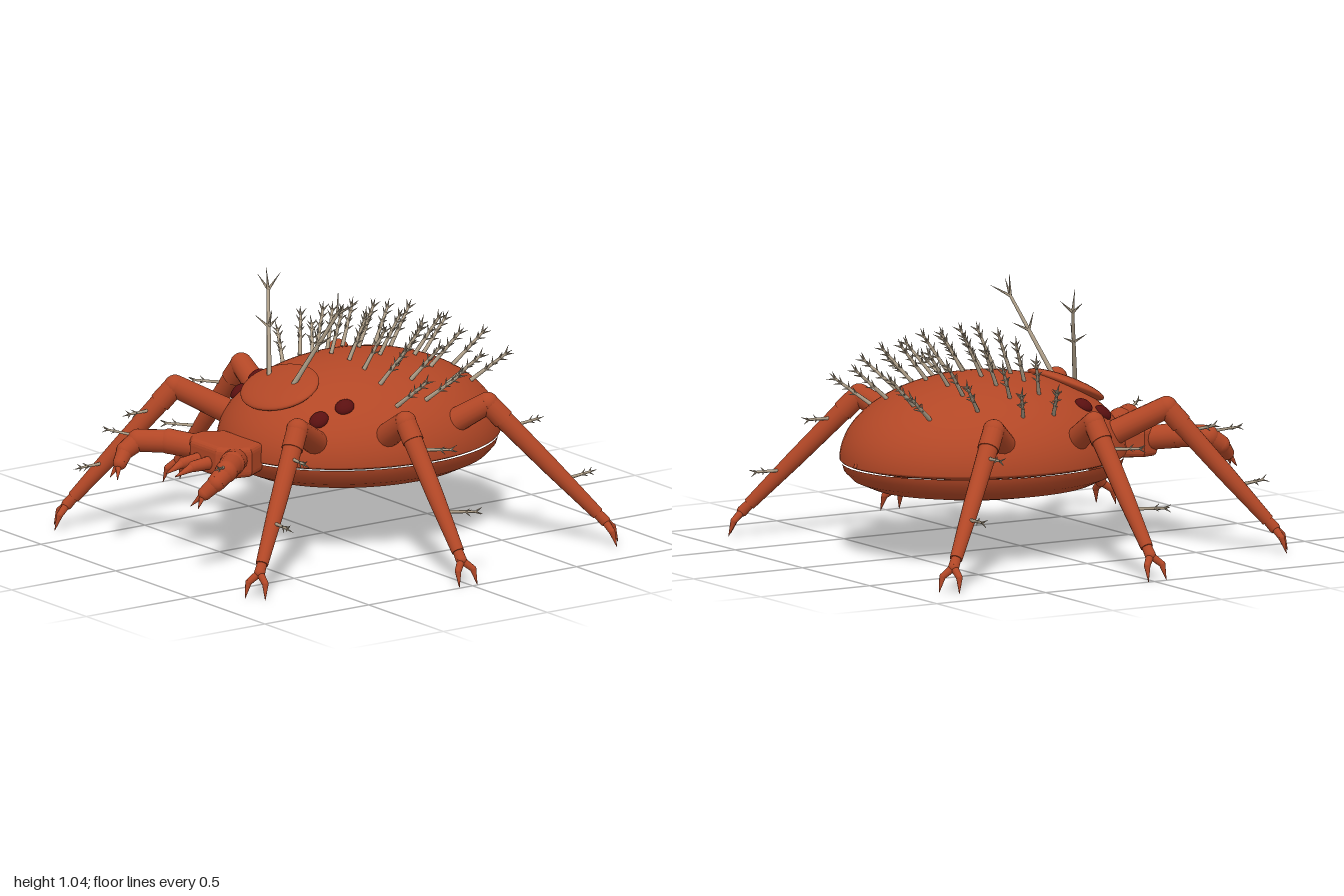
import * as THREE from 'three';
import { mergeGeometries } from 'three/addons/utils/BufferGeometryUtils.js';

const V = (x, y, z) => new THREE.Vector3(x, y, z);
const UP = V(0, 1, 0);
// body ellipsoid: half width, dome height, half length, rim height, centre z
const A = 0.495, B = 0.33, C = 0.585, RIM = 0.38, CZ = -0.17;

export function createModel() {
  const root = new THREE.Group();
  root.name = 'mite';
  const mat = (name, color) => new THREE.MeshStandardMaterial({ name, color });
  const rust = mat('rustRed', 0xb24726);
  const dark = mat('darkRed', 0x5a1010);
  const tan = mat('bristleTan', 0xb3a38c);
  const add = (name, geo, m = rust, parent = root) => {
    const mesh = new THREE.Mesh(geo, m);
    mesh.name = name;
    parent.add(mesh);
    return mesh;
  };

  // tapered rod between two points
  const rod = (a, b, r0, r1, sides = 16) => {
    const d = b.clone().sub(a);
    const g = new THREE.CylinderGeometry(r1, r0, d.length(), sides);
    g.applyQuaternion(new THREE.Quaternion().setFromUnitVectors(UP, d.clone().normalize()));
    const m = a.clone().lerp(b, 0.5);
    return g.translate(m.x, m.y, m.z);
  };
  const ball = (p, r) => new THREE.SphereGeometry(r, 16, 12).translate(p.x, p.y, p.z);

  // branched bristle: stem, whorls of barbs and a forked tip
  const bristle = (name, base, dir, len, r = 0.008, whorls = [0.5, 0.72]) => {
    const d = dir.clone().normalize();
    const u = V(0.3, 0.2, 1).cross(d).normalize(), w = d.clone().cross(u);
    const at = t => base.clone().addScaledVector(d, len * t);
    const parts = [rod(base, at(0.86), r, r * 0.6, 6)];
    const prongs = (t, l, n, spread) => {
      for (let i = 0; i < n; i++) {
        const a = i / n * Math.PI * 2 + t * 5;
        const q = d.clone().addScaledVector(u, Math.cos(a) * spread)
          .addScaledVector(w, Math.sin(a) * spread).normalize();
        parts.push(rod(at(t), at(t).addScaledVector(q, l), r * 0.6, 0.0005, 5));
      }
    };
    whorls.forEach(t => prongs(t, len * 0.17, 3, 1));
    prongs(0.84, len * 0.2, 3, 0.7);
    return add(name, mergeGeometries(parts), tan);
  };

  // body: low belly, pinched rim and high dome
  const profile = [[0, 0.23], [0.3, 0.233], [0.55, 0.246], [0.78, 0.268], [0.91, 0.3], [0.97, 0.335], [0.985, 0.365]];
  const belly = new THREE.LatheGeometry(profile.map(p => new THREE.Vector2(...p)), 64);
  add('belly', belly.scale(A, 1, C).translate(0, 0, CZ));
  const dome = new THREE.SphereGeometry(1, 64, 24, 0, Math.PI * 2, 0, Math.PI / 2);
  add('back', dome.scale(A, B, C).translate(0, RIM, CZ));
  const lip = new THREE.SphereGeometry(1, 64, 12, 0, Math.PI * 2, Math.PI / 2, Math.PI / 2);
  add('rim', lip.scale(A, 0.05, C).translate(0, RIM, CZ));
  add('tailPoint', rod(V(0, 0.4, -0.72), V(0, 0.38, -0.765), 0.03, 0.002));

  // oval plate on the front of the back
  const shield = add('headShield', new THREE.SphereGeometry(1, 40, 20).scale(0.19, 0.032, 0.145));
  shield.position.set(0, 0.625, 0.21);
  shield.rotation.x = 0.44;

  const surface = (x, z) => {
    const k = (z - CZ) / C;
    const h = Math.sqrt(Math.max(0.01, 1 - (x / A) ** 2 - k * k));
    return { p: V(x, RIM + B * h, z), n: V(x / A / A, h / B, k / C).normalize() };
  };

  // mouth base
  const pts = [[-0.11, -0.4], [0.11, -0.4], [0.15, -0.47], [0.14, -0.52], [0.08, -0.56],
    [-0.08, -0.56], [-0.14, -0.52], [-0.15, -0.47]];
  const mouth = new THREE.ExtrudeGeometry(new THREE.Shape(pts.map(p => new THREE.Vector2(p[0], -p[1]))),
    { depth: 0.07, bevelSize: 0.02, bevelThickness: 0.025, bevelSegments: 4 });
  add('mouthBase', mouth.rotateX(Math.PI / 2).translate(0, 0.43, 0));

  // legs for the model's left: hip, knee, ankle
  const legs = {
    frontLeg: [V(0.28, 0.46, 0.23), V(0.41, 0.575, 0.42), V(0.645, 0.1, 0.77)],
    middleLeg: [V(0.4, 0.47, 0), V(0.55, 0.57, 0), V(0.945, 0.1, 0.015)],
    rearLeg: [V(0.41, 0.49, -0.33), V(0.5, 0.57, -0.43), V(0.785, 0.1, -0.79)],
  };

  for (const s of [1, -1]) {
    const side = s > 0 ? 'left' : 'right';
    const m = v => V(v.x * s, v.y, v.z);

    for (const [name, leg] of Object.entries(legs)) {
      const [hip, knee, ankle] = leg.map(m);
      const out = ankle.clone().sub(knee).setY(0).normalize();
      const across = V(-out.z, 0, out.x);
      const on = t => knee.clone().lerp(ankle, t);
      const parts = [
        rod(hip, knee, 0.05, 0.044), ball(knee, 0.044),
        rod(knee, on(0.14), 0.042, 0.043), rod(on(0.14), on(0.55), 0.039, 0.034),
        rod(on(0.55), on(0.94), 0.034, 0.025), rod(on(0.94), ankle, 0.02, 0.022), ball(ankle, 0.022),
      ];
      // paired claws
      for (const k of [-1, 1]) {
        const bend = ankle.clone().addScaledVector(out, 0.03).addScaledVector(across, k * 0.035).setY(0.066);
        const tip = ankle.clone().addScaledVector(out, 0.05).addScaledVector(across, k * 0.042).setY(0.005);
        parts.push(rod(ankle, bend, 0.016, 0.013, 10), ball(bend, 0.013), rod(bend, tip, 0.013, 0.001, 10));
      }
      add(`${side} ${name}`, mergeGeometries(parts));
      // bristles all lean the same way round the leg
      const lean = out.clone().applyAxisAngle(UP, Math.PI / 4).setY(0.05);
      for (const t of [0.2, 0.65]) bristle(`${side} ${name}Bristle`, on(t), lean, 0.16, 0.008, [0.6]);
    }

    // palps curling forward and down
    const palp = [[0.1, 0.4, 0.49, 0.052], [0.21, 0.42, 0.59, 0.05], [0.295, 0.42, 0.68, 0.045],
      [0.305, 0.385, 0.735, 0.036], [0.285, 0.345, 0.775, 0.028]];
    const parts = [];
    palp.forEach((p, i) => {
      const a = m(V(...p));
      parts.push(ball(a, p[3]));
      const q = palp[i + 1];
      if (q) parts.push(rod(a, m(V(...q)), p[3] * 0.92, q[3]));
    });
    for (const k of [-0.025, 0.025])
      parts.push(rod(m(V(0.285, 0.345, 0.78)), m(V(0.27 + k, 0.29, 0.815)), 0.016, 0.001, 10));
    add(`${side} palp`, mergeGeometries(parts));
    bristle(`${side} palpBristle`, m(V(0.3, 0.44, 0.69)), m(V(0.7, 0.2, 0.8)), 0.13, 0.007, [0.6]);

    // jaws
    add(`${side} jaw`, mergeGeometries([
      rod(m(V(0.035, 0.385, 0.55)), m(V(0.035, 0.38, 0.65)), 0.028, 0.022),
      ball(m(V(0.035, 0.38, 0.65)), 0.022),
      rod(m(V(0.035, 0.38, 0.65)), m(V(0.03, 0.35, 0.735)), 0.02, 0.002),
    ]));

    // two eyes on each side
    for (const [x, z] of [[0.295, 0.11], [0.27, 0.215]]) {
      const { p, n } = surface(x * s, z);
      const eye = add(`${side} eye`, new THREE.SphereGeometry(1, 20, 14).scale(0.034, 0.022, 0.04), dark);
      eye.position.copy(p);
      eye.quaternion.setFromUnitVectors(UP, n);
    }

    // long forked feelers
    bristle(`${side} longFeeler`, m(V(0.07, 0.63, 0.21)), m(V(0.19, 0.38, -0.13)), 0.45, 0.011, [0.5]);

    // bristles in rows across the back
    const rows = [[-0.08, [0.06, 0.16, 0.27, 0.38]], [-0.22, [0.07, 0.18, 0.28, 0.38]],
      [-0.38, [0.08, 0.19, 0.3]], [-0.55, [0.1, 0.22]]];
    for (const [z, xs] of rows) for (const x of xs) {
      const { p, n } = surface(x * s, z);
      bristle(`${side} backBristle`, p, V(n.x * 1.3, n.y, n.z - 0.5), 0.2, 0.009, [0.35, 0.52, 0.7]);
    }
  }
  return root;
}
